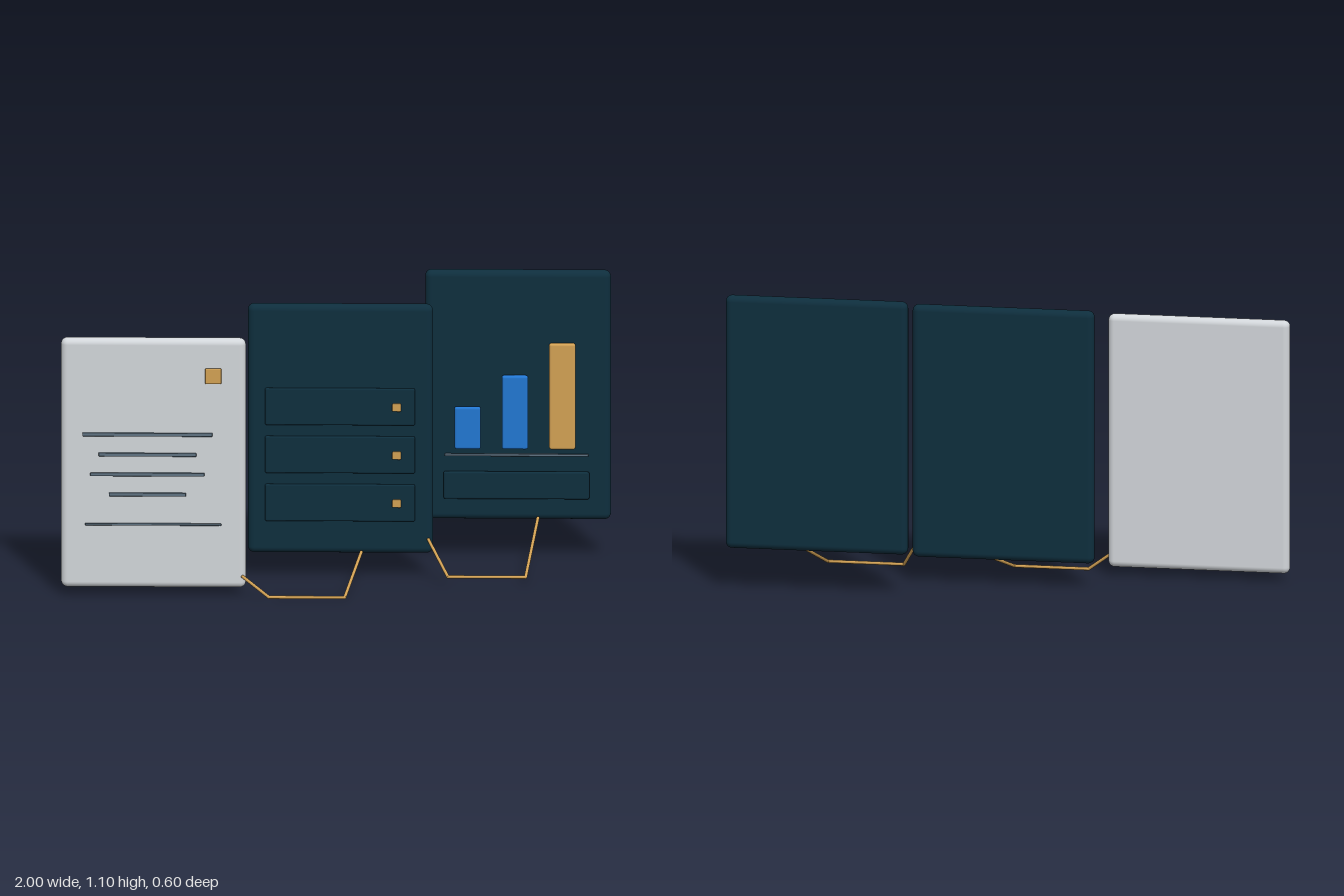
import * as THREE from 'three';
import { RoundedBoxGeometry } from 'three/addons/geometries/RoundedBoxGeometry.js';

const mat = (name, color) => {
  const m = new THREE.MeshStandardMaterial({ color });
  m.name = name;
  return m;
};

export function createModel() {
  const white = mat('paleGrey', 0xd2d6da);
  const navy = mat('navy', 0x0e2e3d);
  const gold = mat('gold', 0xd2a154);
  const blue = mat('blue', 0x2277d2);
  const slate = mat('slate', 0x5f7282);

  const model = new THREE.Group();
  model.name = 'linkedPanels';

  const group = (name) => {
    const g = new THREE.Group();
    g.name = name;
    model.add(g);
    return g;
  };

  // Rounded block given by its min and max on each axis
  const block = (parent, name, material, [x0, x1], [y0, y1], [z0, z1], radius, segments = 2) => {
    const geo = new RoundedBoxGeometry(x1 - x0, y1 - y0, z1 - z0, segments, radius);
    const mesh = new THREE.Mesh(geo, material);
    mesh.name = name;
    mesh.position.set((x0 + x1) / 2, (y0 + y1) / 2, (z0 + z1) / 2);
    parent.add(mesh);
  };

  // Document panel: seal and text lines floating just off the face
  const doc = group('documentPanel');
  block(doc, 'documentSlab', white, [-1, -0.325], [0.034, 0.978], [0.214, 0.262], 0.0235, 5);
  block(doc, 'seal', gold, [-0.473, -0.414], [0.812, 0.871], [0.266, 0.276], 0.004);
  [
    [-0.922, -0.446, 0.618, 0.014],
    [-0.863, -0.505, 0.542, 0.014],
    [-0.893, -0.476, 0.467, 0.014],
    [-0.825, -0.543, 0.391, 0.014],
    [-0.912, -0.414, 0.278, 0.009],
  ].forEach(([x0, x1, y, h], i) =>
    block(doc, `textLine${i + 1}`, slate, [x0, x1], [y - h / 2, y + h / 2], [0.264, 0.272], 0.003));

  // Storage panel: three drawers, each with a small knob
  const store = group('storagePanel');
  block(store, 'storageSlab', navy, [-0.322, 0.354], [0.097, 1.039], [-0.043, 0.006], 0.0235, 5);
  [0.656, 0.474, 0.292].forEach((y, i) => {
    block(store, `drawer${i + 1}`, navy, [-0.259, 0.289], [y - 0.07, y + 0.07], [0.003, 0.017], 0.006);
    block(store, `knob${i + 1}`, gold, [0.206, 0.238], [y - 0.015, y + 0.015], [0.016, 0.026], 0.004);
  });

  // Chart panel: bars, baseline and caption plate
  const chart = group('chartPanel');
  block(chart, 'chartSlab', navy, [0.322, 1], [0.157, 1.1], [-0.299, -0.25], 0.0235, 5);
  [[0.429, 0.591, blue], [0.602, 0.71, blue], [0.775, 0.833, gold]].forEach(([x, top, m], i) =>
    block(chart, `bar${i + 1}`, m, [x, x + 0.096], [0.431, top], [-0.244, -0.222], 0.009, 3));
  block(chart, 'baseline', slate, [0.393, 0.919], [0.4, 0.41], [-0.249, -0.241], 0.003);
  block(chart, 'captionPlate', navy, [0.389, 0.922], [0.24, 0.344], [-0.247, -0.231], 0.007);

  // Cables made of straight rods with rounded joints
  const r = 0.006;
  const cable = (name, points) => {
    const g = group(name);
    const pts = points.map((p) => new THREE.Vector3(...p));
    pts.forEach((p, i) => {
      const joint = new THREE.Mesh(new THREE.SphereGeometry(r, 10, 6), gold);
      joint.name = 'joint';
      joint.position.copy(p);
      g.add(joint);
      if (!i) return;
      const dir = p.clone().sub(pts[i - 1]);
      const rod = new THREE.Mesh(new THREE.CylinderGeometry(r, r, dir.length(), 10), gold);
      rod.name = 'rod';
      rod.position.copy(p).add(pts[i - 1]).multiplyScalar(0.5);
      rod.quaternion.setFromUnitVectors(new THREE.Vector3(0, 1, 0), dir.normalize());
      g.add(rod);
    });
  };
  cable('leftCable', [[-0.336, 0.081, 0.266], [-0.24, 0.01, 0.29], [0.037, 0.01, 0.29], [0.093, 0.106, 0.013]]);
  cable('rightCable', [[0.338, 0.155, 0.013], [0.411, 0.039, 0.105], [0.695, 0.039, 0.105], [0.734, 0.168, -0.241]]);

  return model;
}
